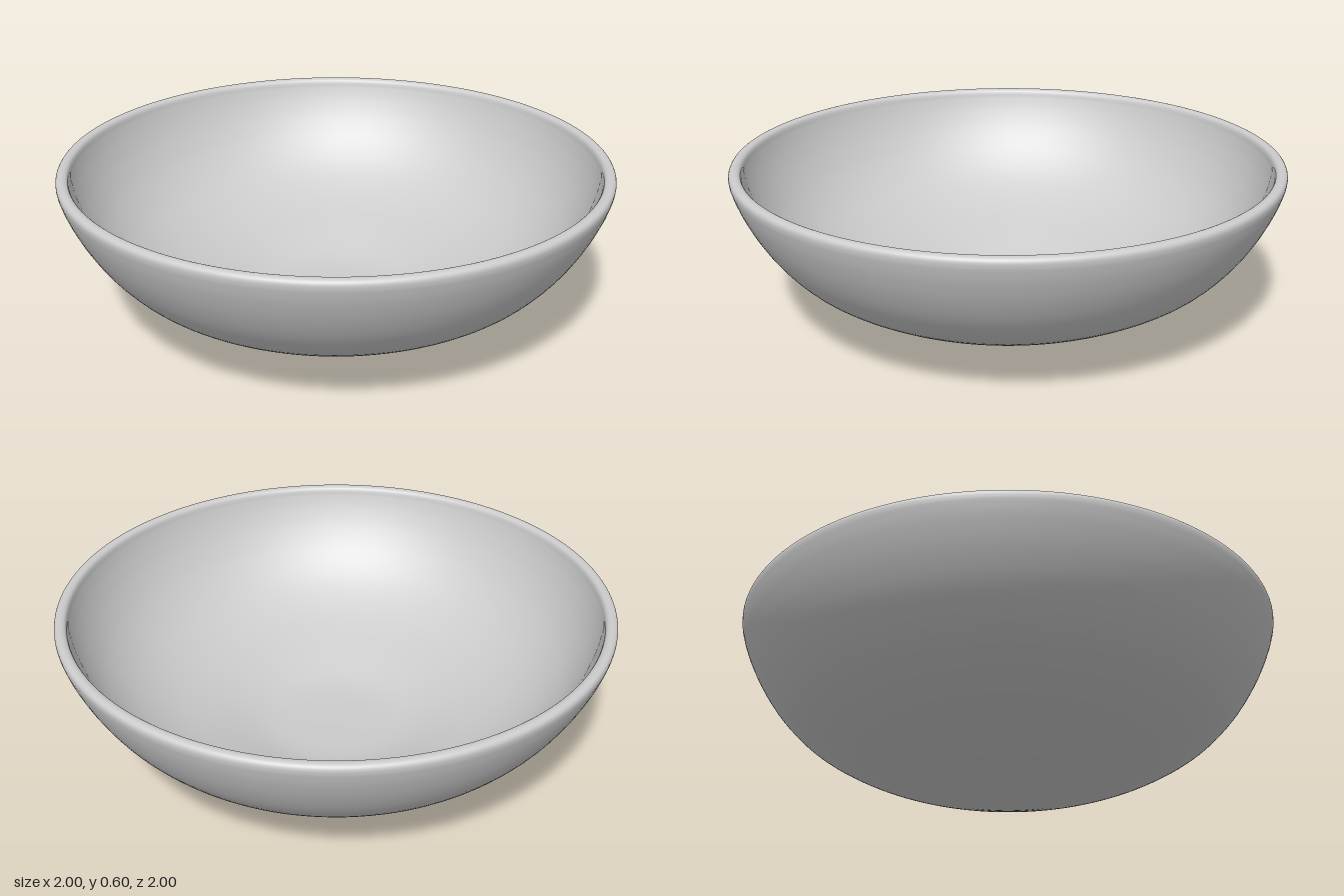
import * as THREE from 'three';

const spline = (pts, n) =>
  new THREE.SplineCurve(pts.map(([x, y]) => new THREE.Vector2(x, y))).getPoints(n);

export function createModel() {
  const group = new THREE.Group();
  group.name = 'bowl';

  // Outer wall, from the centre of the base up to the rim
  const outer = spline([
    [0, 0], [0.1, 0.006], [0.22, 0.012], [0.31, 0.029], [0.45, 0.073], [0.6, 0.127],
    [0.71, 0.182], [0.8, 0.245], [0.88, 0.332], [0.94, 0.425], [0.98, 0.51], [0.998, 0.565],
  ], 44);

  // Rounded rim
  const rim = spline([
    [0.998, 0.565], [1, 0.585], [0.993, 0.598], [0.978, 0.602],
    [0.964, 0.598], [0.957, 0.588], [0.953, 0.57],
  ], 18);

  // Inner wall, from the rim down to the centre of the floor
  const inner = spline([
    [0.953, 0.57], [0.935, 0.515], [0.9, 0.44], [0.845, 0.357], [0.77, 0.28], [0.685, 0.22],
    [0.58, 0.167], [0.435, 0.115], [0.3, 0.07], [0.21, 0.054], [0.1, 0.049], [0, 0.046],
  ], 44);

  const profile = [...outer, ...rim.slice(1), ...inner.slice(1)];
  profile[0].x = 0;
  profile[profile.length - 1].x = 0;

  const shell = new THREE.Mesh(
    new THREE.LatheGeometry(profile, 128),
    new THREE.MeshStandardMaterial({ color: 0xcccccc }),
  );
  shell.name = 'bowlShell';
  group.add(shell);
  return group;
}
